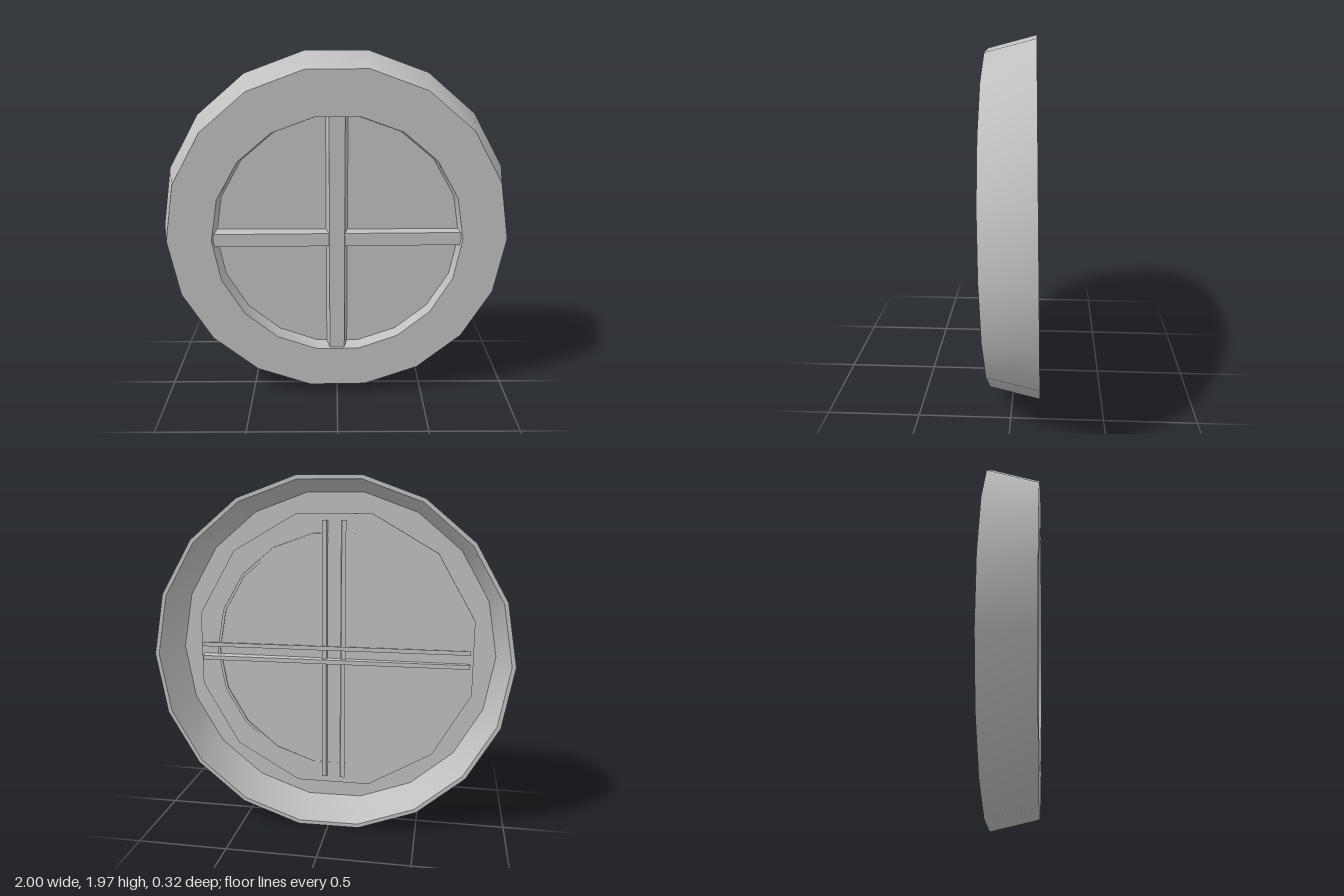
import * as THREE from 'three';
import { toCreasedNormals } from 'three/addons/utils/BufferGeometryUtils.js';

const grey = new THREE.MeshStandardMaterial({ color: 0xc0c0c0 });
grey.name = 'grey';

const points = (list) => list.map(([x, y]) => new THREE.Vector2(x, y));

function addMesh(parent, name, geometry) {
  const mesh = new THREE.Mesh(geometry, grey);
  mesh.name = name;
  parent.add(mesh);
  return mesh;
}

// Channel with sloping sides, open at the back, running along y
function channel(length, backHalf, frontHalf, back, front) {
  const wall = 0.024;
  const shape = new THREE.Shape(points([
    [-backHalf, back], [-backHalf + wall, back],
    [-frontHalf + wall, front - wall], [frontHalf - wall, front - wall],
    [backHalf - wall, back], [backHalf, back],
    [frontHalf, front], [-frontHalf, front],
  ]));
  const geometry = new THREE.ExtrudeGeometry(shape, { depth: length, bevelEnabled: false });
  // section (x, y) becomes (x, z), extrusion runs along y
  geometry.translate(0, 0, -length / 2);
  geometry.rotateX(Math.PI / 2);
  return geometry;
}

export function createModel() {
  const model = new THREE.Group();
  model.name = 'roundWindow';

  // Slightly leaning assembly
  const body = new THREE.Group();
  body.name = 'windowBody';
  body.position.y = 0.987;
  body.rotation.set(0.019, 0.019, 0);
  model.add(body);

  // Flared hollow frame with a flat front and a short lip around the opening
  const profile = points([
    [1.0, -0.131], [0.935, 0.135], [0.69, 0.135], [0.672, 0.042],
    [0.688, 0.042], [0.705, 0.115], [0.915, 0.115], [0.978, -0.131], [1.0, -0.131],
  ]);
  const frame = new THREE.LatheGeometry(profile, 18, Math.PI / 2);
  frame.rotateX(Math.PI / 2);
  addMesh(body, 'frame', toCreasedNormals(frame, Math.PI / 6));

  // Twelve-sided pane behind the opening
  const pane = new THREE.CylinderGeometry(0.815, 0.815, 0.016, 12, 1, false, Math.PI / 12);
  pane.rotateX(Math.PI / 2);
  const paneMesh = addMesh(body, 'pane', toCreasedNormals(pane, Math.PI / 6));
  paneMesh.position.z = 0.052;
  paneMesh.rotation.y = -0.015;

  // Crossing glazing bars
  const upright = addMesh(body, 'verticalBar', channel(1.5, 0.067, 0.042, 0.03, 0.122));
  upright.position.x = -0.003;
  const crossbar = addMesh(body, 'horizontalBar', channel(1.54, 0.052, 0.037, 0.016, 0.112));
  crossbar.rotation.z = Math.PI / 2;
  crossbar.position.y = -0.006;

  return model;
}
